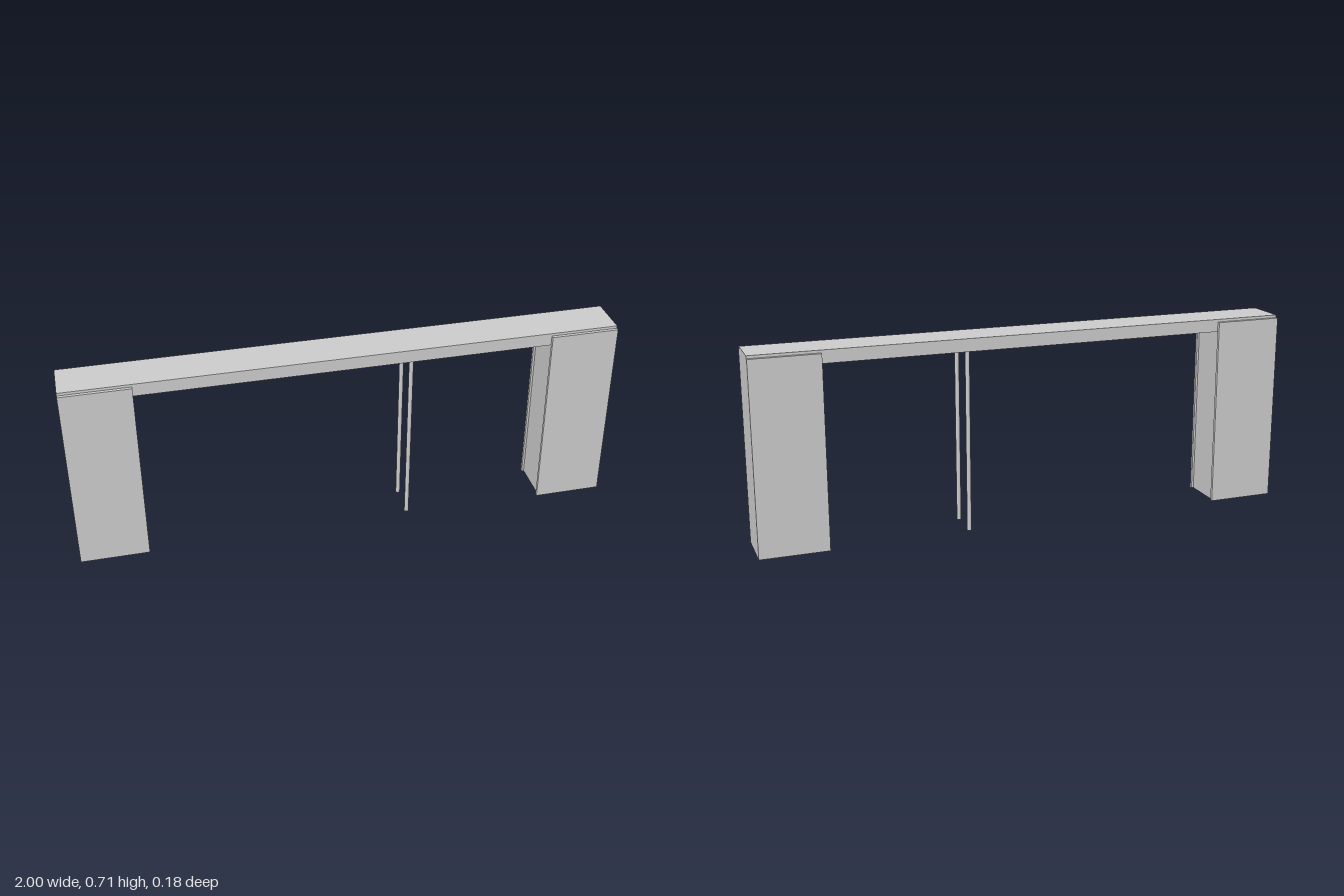
import * as THREE from 'three';

export function createModel() {
  const group = new THREE.Group();
  const material = new THREE.MeshStandardMaterial({ color: 0xcccccc });

  const add = (name, geometry, x, y, z) => {
    const mesh = new THREE.Mesh(geometry, material);
    mesh.name = name;
    mesh.position.set(x, y, z);
    group.add(mesh);
  };
  const box = (name, x0, x1, y0, y1, z0, z1) =>
    add(name, new THREE.BoxGeometry(Math.abs(x1 - x0), y1 - y0, z1 - z0),
      (x0 + x1) / 2, (y0 + y1) / 2, (z0 + z1) / 2);

  const beamBottom = 0.668, beamTop = 0.715, panelTop = 0.705;
  const coreZ = 0.078, outerZ = 0.09;

  // Long beam spanning both piers
  box('beam', -1, 1, beamBottom, beamTop, -coreZ, coreZ);

  // Piers: a core set back slightly between thin front and back panels
  for (const [side, s] of [['left', 1], ['right', -1]]) {
    box(`${side}PierCore`, s * 0.758, s, 0, beamBottom, -coreZ, coreZ);
    box(`${side}PierFrontPanel`, s * 0.75, s, 0, panelTop, coreZ, outerZ);
    box(`${side}PierBackPanel`, s * 0.75, s, 0, panelTop, -outerZ, -coreZ);
  }

  // Pair of slim round posts under the beam
  for (const [name, z] of [['frontPost', 0.062], ['backPost', -0.062]]) {
    add(name, new THREE.CylinderGeometry(0.008, 0.008, beamBottom, 20), 0.232, beamBottom / 2, z);
  }

  return group;
}
